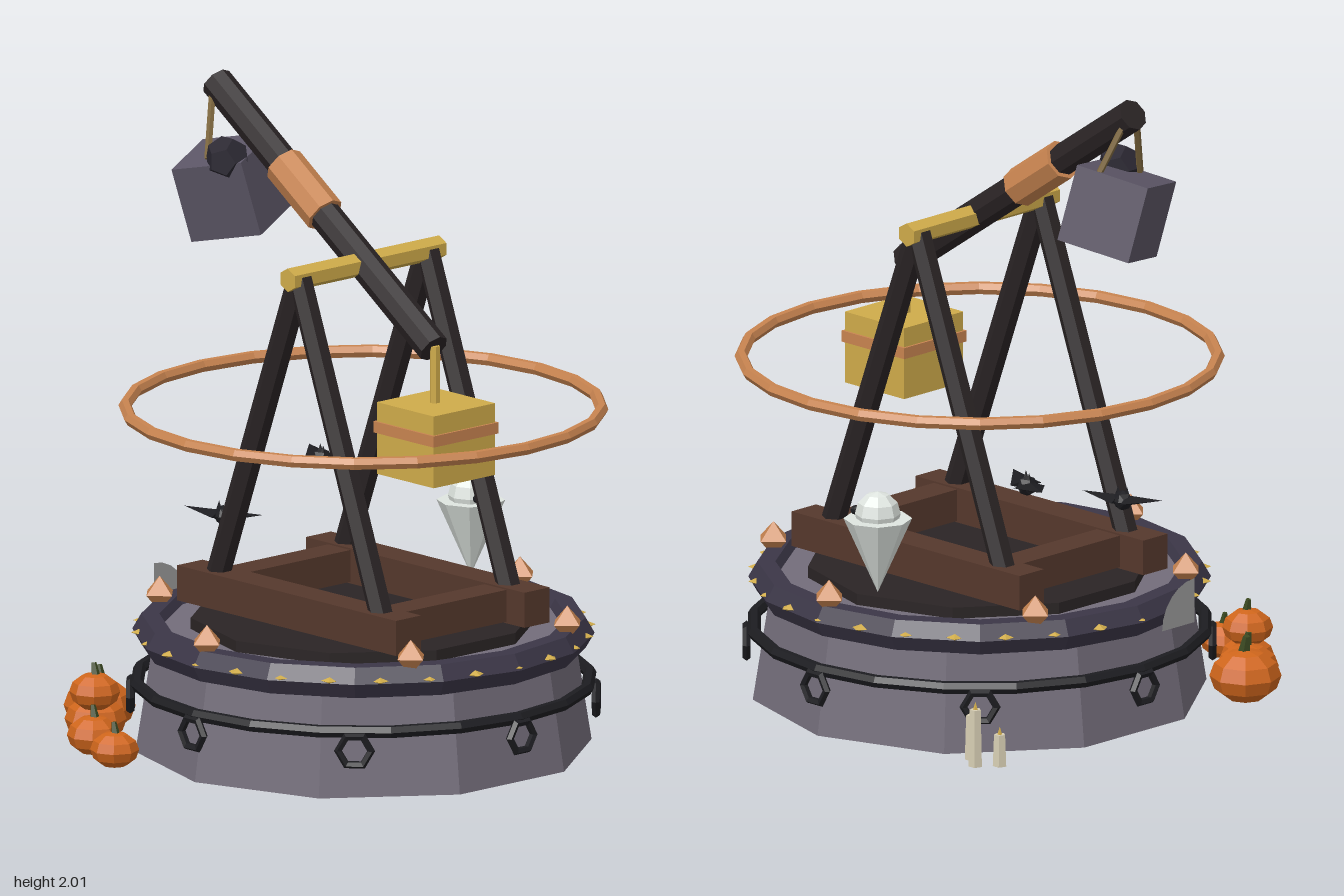
import * as THREE from 'three';

const CZ = -0.045; // z of the main axis
const mat = (color, extra = {}) => new THREE.MeshStandardMaterial({ color, flatShading: true, ...extra });
const M = {
  stone: mat(0x736d7a), rim: mat(0x3b3647), iron: mat(0x1d1d21), wood: mat(0x2a2425),
  brown: mat(0x55382c), gold: mat(0xcfab4a), copper: mat(0xc88450), block: mat(0x5c5666),
  rock: mat(0x2b2832), rope: mat(0x80693f), pumpkin: mat(0xd0661c), stem: mat(0x3c4a22),
  ghost: mat(0xdfe5e0), wax: mat(0xd8cfb4), web: mat(0x9a9a9a, { side: THREE.DoubleSide }),
};

export function createModel() {
  const root = new THREE.Group();

  function add(name, geo, material, x = 0, y = 0, z = CZ, parent = root) {
    const m = new THREE.Mesh(geo, material);
    m.name = name;
    m.position.set(x, y, z);
    parent.add(m);
    return m;
  }
  const box = (name, w, h, d, material, x, y, z) => add(name, new THREE.BoxGeometry(w, h, d), material, x, y, z);
  function hoop(name, r, tube, sides, segs, material, y) {
    const m = add(name, new THREE.TorusGeometry(r, tube, sides, segs).rotateX(Math.PI / 2), material, 0, y);
    return m;
  }
  // Cylinder between two points
  function bar(name, a, b, r, sides, material) {
    const p = new THREE.Vector3(...a), q = new THREE.Vector3(...b);
    const d = q.clone().sub(p), c = p.clone().add(q).multiplyScalar(0.5);
    const m = add(name, new THREE.CylinderGeometry(r, r, d.length(), sides), material, c.x, c.y, c.z);
    m.quaternion.setFromUnitVectors(new THREE.Vector3(0, 1, 0), d.normalize());
    return m;
  }
  // Calls fn(x, z, angle) at n places round the axis
  function around(n, r, offset, fn) {
    for (let i = 0; i < n; i++) {
      const a = ((i + offset) / n) * Math.PI * 2;
      fn(Math.sin(a) * r, CZ + Math.cos(a) * r, a);
    }
  }

  // Stone base, dark well and rims
  add('base', new THREE.CylinderGeometry(0.64, 0.7, 0.38, 10), M.stone, 0, 0.19);
  add('well', new THREE.CylinderGeometry(0.53, 0.53, 0.1, 10), M.wood, 0, 0.365);
  hoop('rim', 0.65, 0.055, 6, 16, M.rim, 0.36);
  around(28, 0.672, 0, (x, z, a) => {
    const g = new THREE.OctahedronGeometry(0.045).scale(1, 0.35, 0.85);
    add('rimInlay', g, M.gold, x, 0.367, z).rotation.y = a;
  });
  around(6, 0.65, 0, (x, z) => add('rimSpike', new THREE.OctahedronGeometry(0.055), M.copper, x, 0.43, z));

  // Iron band with hanging links
  hoop('ironBand', 0.695, 0.02, 6, 20, M.iron, 0.21);
  around(8, 0.71, 0, (x, z, a) => {
    add('ironLink', new THREE.TorusGeometry(0.05, 0.013, 5, 6), M.iron, x, 0.155, z).rotation.y = a;
  });

  // Floating copper ring
  hoop('upperRing', 0.727, 0.02, 6, 24, M.copper, 1.06);

  // Wooden ground frame
  for (const s of [-1, 1]) {
    box('longFrameBeam', 0.98, 0.11, 0.105, M.brown, 0, 0.475, CZ + s * 0.267);
    box('crossFrameBeam', 0.1, 0.1, 0.43, M.brown, s * 0.35 + 0.01, 0.475, CZ);
    // A-frame legs
    for (const t of [-1, 1]) bar('leg', [t * 0.39, 0.45, CZ + s * 0.265], [0, 1.51, CZ + s * 0.265], 0.038, 6, M.wood);
  }
  bar('axle', [0, 1.51, CZ - 0.315], [0, 1.51, CZ + 0.315], 0.037, 6, M.gold);

  // Swinging arm with sleeve
  const end = new THREE.Vector3(-0.66, 1.965, CZ), heel = new THREE.Vector3(0.315, 1.3, CZ);
  const onArm = (t) => end.clone().lerp(heel, t).toArray();
  bar('arm', onArm(0), onArm(1), 0.05, 8, M.wood);
  bar('armSleeve', onArm(0.31), onArm(0.5), 0.063, 8, M.copper);

  // Counterweight
  bar('counterweightRod', [0.32, 1.1, CZ], [0.32, 1.31, CZ], 0.016, 6, M.gold);
  box('counterweight', 0.255, 0.225, 0.255, M.gold, 0.325, 1.02, CZ);
  box('counterweightBand', 0.27, 0.035, 0.27, M.copper, 0.325, 1.055, CZ);

  // Hanging stone block, ropes and rock
  box('hangingBlock', 0.24, 0.24, 0.24, M.block, -0.59, 1.645, CZ).rotation.set(0.2, 0.4, 0.12);
  for (const s of [-1, 1]) bar('rope', [-0.645, 1.93, CZ + s * 0.03], [-0.59, 1.75, CZ + s * 0.1], 0.011, 5, M.rope);
  add('rock', new THREE.DodecahedronGeometry(0.07), M.rock, -0.525, 1.76, 0.035);

  // Bats
  for (const [x, y, z, turn] of [[-0.43, 0.785, -0.27, -0.46], [-0.46, 0.665, 0.11, 0.35]]) {
    const bat = new THREE.Group();
    bat.name = 'bat';
    bat.position.set(x, y, z);
    bat.rotation.y = turn;
    root.add(bat);
    add('batBody', new THREE.OctahedronGeometry(0.032, 1), M.iron, 0, 0, 0, bat);
    for (const s of [-1, 1]) {
      const g = new THREE.ConeGeometry(0.05, 0.12, 4).scale(0.3, 1, 1).rotateZ(-s * (Math.PI / 2 - 0.12));
      add('batWing', g, M.iron, s * 0.075, 0.008, 0, bat);
      add('batEar', new THREE.ConeGeometry(0.01, 0.03, 4), M.iron, s * 0.015, 0.03, 0, bat);
    }
  }

  // Ghost looking to its +x side
  add('ghostBody', new THREE.ConeGeometry(0.105, 0.235, 8).rotateX(Math.PI), M.ghost, -0.08, 0.553, -0.565);
  add('ghostHead', new THREE.SphereGeometry(0.07, 8, 6), M.ghost, -0.08, 0.685, -0.565);
  for (const s of [-1, 1]) add('ghostEye', new THREE.SphereGeometry(0.015, 6, 5), M.iron, -0.015, 0.69, -0.565 + s * 0.032);

  // Pumpkins: x, y, z, radius
  const pumpkins = [[-0.67, 0.085, 0.43, 0.11], [-0.58, 0.075, 0.53, 0.095], [-0.53, 0.178, 0.58, 0.078],
    [-0.47, 0.062, 0.64, 0.082], [-0.295, 0.06, 0.715, 0.075]];
  for (const [x, y, z, r] of pumpkins) {
    add('pumpkin', new THREE.SphereGeometry(r, 8, 6).scale(1, 0.75, 1), M.pumpkin, x, y, z);
    add('pumpkinStem', new THREE.CylinderGeometry(r * 0.1, r * 0.18, r * 0.5, 5), M.stem, x, y + r * 0.9, z).rotation.z = 0.2;
  }

  // Candles: x, z, height
  for (const [x, z, h] of [[-0.57, -0.635, 0.18], [-0.62, -0.58, 0.1], [-0.51, -0.59, 0.14]]) {
    add('candle', new THREE.CylinderGeometry(0.018, 0.022, h, 5), M.wax, x, h / 2, z);
    add('candleFlame', new THREE.ConeGeometry(0.008, 0.025, 5), M.gold, x, h + 0.012, z);
  }

  // Thin web panel on the right side
  const web = add('web', new THREE.CircleGeometry(0.14, 6, 0, Math.PI / 2), M.web, -0.74, 0.33, 0.14);
  web.rotation.y = Math.PI / 2;

  return root;
}
